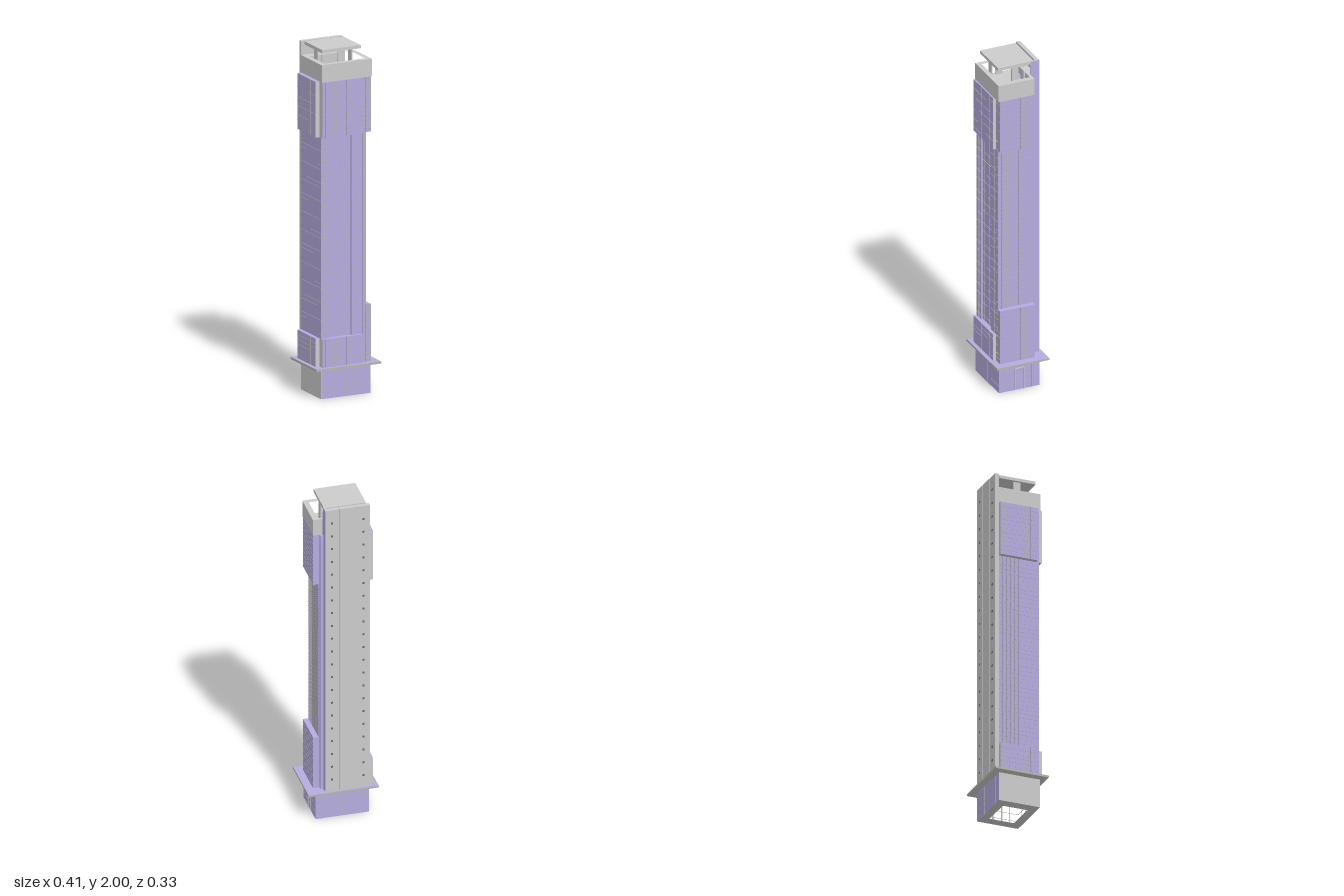
import * as THREE from 'three';
import { mergeGeometries } from 'three/addons/utils/BufferGeometryUtils.js';

const grey = new THREE.MeshStandardMaterial({ color: 0xcccccc });
const glass = new THREE.MeshStandardMaterial({ color: 0xb5abe0 });
const trim = new THREE.MeshStandardMaterial({ color: 0xb9b7a6 });
const dark = new THREE.MeshStandardMaterial({ color: 0x666666 });

// Box geometry from its limits
function span(x0, x1, y0, y1, z0, z1) {
  return new THREE.BoxGeometry(x1 - x0, y1 - y0, z1 - z0)
    .translate((x0 + x1) / 2, (y0 + y1) / 2, (z0 + z1) / 2);
}

// Upright prism from a plan of [x, z] points, with an optional hole
function prism(plan, y0, y1, hole) {
  const pts = (list) => list.map(([x, z]) => new THREE.Vector2(x, -z));
  const shape = new THREE.Shape(pts(plan));
  if (hole) shape.holes.push(new THREE.Path(pts(hole)));
  return new THREE.ExtrudeGeometry(shape, { depth: y1 - y0, bevelEnabled: false })
    .rotateX(-Math.PI / 2).translate(0, y0, 0);
}

const rect = (x0, x1, z0, z1) => [[x0, z0], [x1, z0], [x1, z1], [x0, z1]];

// Grid of thin window bars on a wall; axis is the wall's normal, at its position
function bars(axis, at, a0, a1, y0, y1, cols, rows) {
  const list = [], w = 0.0007, d = 0.0009;
  const add = (u0, u1, v0, v1) => list.push(axis === 'z'
    ? span(u0, u1, v0, v1, at - d, at + d)
    : span(at - d, at + d, v0, v1, u0, u1));
  for (let i = 1; i < cols; i++) {
    const u = a0 + (a1 - a0) * i / cols;
    add(u - w, u + w, y0, y1);
  }
  for (let j = 1; j < rows; j++) {
    const v = y0 + (y1 - y0) * j / rows;
    add(a0, a1, v - w, v + w);
  }
  return mergeGeometries(list);
}

export function createModel() {
  const model = new THREE.Group();
  model.name = 'tower';
  const add = (name, geometry, material) => {
    const mesh = new THREE.Mesh(geometry, material);
    mesh.name = name;
    model.add(mesh);
  };

  // Hollow podium, open below, with one plain side
  add('podium', prism(rect(-0.155, 0.152, -0.122, 0.126), 0, 0.172,
    rect(-0.095, 0.092, -0.072, 0.076)), [grey, glass]);
  add('podiumPlainWall', span(-0.157, -0.155, 0, 0.172, -0.122, 0.126), grey);
  add('podiumFrontBars', bars('z', 0.126, -0.155, 0.152, 0, 0.172, 6, 4), trim);
  add('podiumBackBars', bars('z', -0.122, -0.155, 0.152, 0, 0.172, 6, 4), trim);
  add('podiumSideBars', bars('x', 0.152, -0.122, 0.126, 0, 0.172, 5, 4), trim);
  add('podiumDoorFrame', mergeGeometries([
    span(0.15, 0.155, 0, 0.13, -0.03, -0.025),
    span(0.15, 0.155, 0, 0.13, 0.025, 0.03),
    span(0.15, 0.155, 0.13, 0.135, -0.03, 0.03),
  ]), grey);

  // Overhanging canopy slab
  add('canopy', span(-0.202, 0.202, 0.17, 0.182, -0.16, 0.16), [trim, trim, glass, grey, trim, trim]);

  // Main shaft with a shallow recess down the middle of the front
  add('shaft', prism([[-0.155, -0.122], [0.1, -0.122], [0.1, 0.12], [0.035, 0.12],
    [0.035, 0.108], [-0.095, 0.108], [-0.095, 0.12], [-0.155, 0.12]], 0.18, 1.82), glass);
  for (const [a, b, z, n] of [[-0.155, -0.095, 0.12, 3], [-0.095, 0.035, 0.108, 6], [0.035, 0.1, 0.12, 3]])
    add('shaftFrontBars', bars('z', z, a, b, 0.345, 1.5, n, 44), trim);
  add('shaftSideBars', bars('x', -0.155, -0.122, 0.12, 0.345, 1.5, 10, 44), trim);

  // Side wing, set off from the shaft by a narrow groove
  add('wingLink', span(0.098, 0.106, 0.18, 1.82, -0.088, 0.108), dark);
  add('wing', span(0.104, 0.126, 0.18, 1.82, -0.088, 0.12), glass);
  add('wingBars', bars('x', 0.126, -0.088, 0.12, 0.51, 1.5, 10, 38), trim);
  add('wingFrontBars', bars('z', 0.12, 0.104, 0.126, 0.18, 1.82, 2, 62), trim);

  // Projecting bays at the foot and head of the tower
  for (const [y0, y1, sideTop] of [[0.18, 0.345, 0.51], [1.5, 1.82, 1.82]]) {
    const rows = Math.round((y1 - y0) / 0.027);
    add('frontBay', span(-0.155, 0.1, y0, y1, 0.1, 0.138), [grey, grey, glass, grey, glass, grey]);
    add('frontBayBars', bars('z', 0.138, -0.155, 0.1, y0, y1, 12, rows), trim);
    add('leftFaceBay', span(-0.179, -0.15, y0, y1, -0.122, 0.103), [grey, glass, glass, grey, grey, grey]);
    add('leftFaceBayBars', bars('x', -0.179, -0.122, 0.103, y0, y1, 10, rows), trim);
    add('wingBay', span(0.104, 0.157, y0, sideTop, -0.09, 0.12), glass);
    add('wingBayBars', bars('x', 0.157, -0.09, 0.12, y0, sideTop, 10, 12), trim);
    add('wingBayFrontBars', bars('z', 0.12, 0.104, 0.157, y0, sideTop, 3, 12), trim);
  }

  // Rear service core with two vertical grooves and a return wall
  const core = [[-0.155, -0.145]];
  for (const x of [-0.078, 0.025])
    core.push([x - 0.004, -0.145], [x - 0.004, -0.136], [x + 0.004, -0.136], [x + 0.004, -0.145]);
  core.push([0.102, -0.145], [0.102, -0.09], [0.094, -0.09], [0.094, -0.122], [-0.155, -0.122]);
  add('rearCore', prism(core, 0.18, 2), grey);
  add('coreSideGlazing', span(0.102, 0.103, 0.18, 2, -0.142, -0.09), glass);
  add('coreSidePier', span(0.102, 0.119, 0.18, 1.82, -0.11, -0.088), glass);

  // Small stair windows, one pair per floor
  const windows = [];
  for (let i = 0; i < 21; i++)
    for (const x of [-0.117, 0.064])
      windows.push(span(x - 0.006, x + 0.006, 0.25 + i * 0.083, 0.262 + i * 0.083, -0.1462, -0.143));
  add('stairWindows', mergeGeometries(windows), dark);

  // Parapet around the sunken roof terrace
  add('parapet', prism([[-0.155, -0.122], [0.096, -0.122], [0.096, -0.09], [0.158, -0.09],
    [0.158, 0.13], [-0.155, 0.13]], 1.82, 1.92, rect(-0.127, 0.128, -0.075, 0.102)), grey);
  add('roofTerrace', span(-0.14, 0.14, 1.81, 1.84, -0.08, 0.11), grey);

  // Roof canopy on four flat posts
  add('roofCanopy', span(-0.141, 0.1, 1.982, 2, -0.111, 0.107), grey);
  for (const z of [-0.1, 0.098])
    add('roofPost', span(-0.04, 0, 1.83, 1.985, z - 0.004, z + 0.004), grey);
  for (const x of [-0.123, 0.09])
    add('roofPost', span(x - 0.004, x + 0.004, 1.83, 1.985, -0.02, 0.02), grey);

  // The whole tower stands slightly turned
  const root = new THREE.Group();
  root.name = 'towerRoot';
  model.rotation.y = -0.02;
  root.add(model);
  return root;
}
